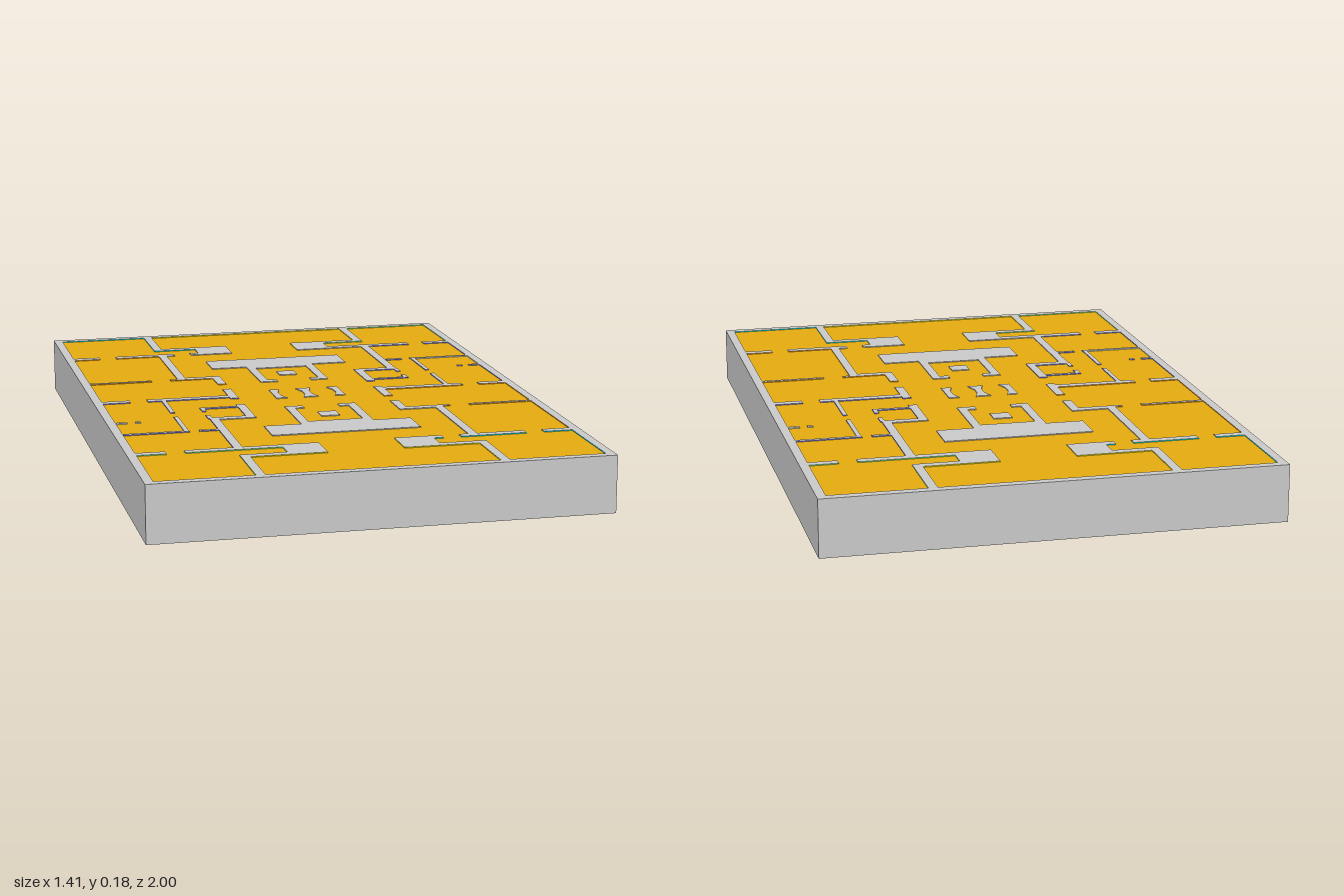
import * as THREE from 'three';
import { mergeGeometries } from 'three/addons/utils/BufferGeometryUtils.js';

const H = 0.178, SHEET = 0.175;
const THICK = 0.028, THIN = 0.014;
const COLOURS = {
  grey: 0xcccccc, yellow: 0xf8f800, green: 0x80ff80, cyan: 0x00ffff,
  orange: 0xffa010, blue: 0x8080ff, pale: 0xe0f4e4,
};

// Paint of the room containing a point; the plan repeats when turned half a circle
function zone(x, z) {
  if (z < 0) { x = -x; z = -z; }
  const a = Math.abs(x);
  if (a > 0.69 || z > 0.985) return 'grey';
  if (z > 0.665) {
    if (a > 0.365 || (a > 0.235 && z < 0.755)) return x > 0 ? 'cyan' : 'green';
    return 'yellow';
  }
  if (x < -0.485 && z > 0.28 && z < 0.42) return 'pale';
  if (a > 0.365 || (a > 0.235 && z < 0.285)) return x > 0 ? 'orange' : 'blue';
  return 'grey';
}

// Sides are cut where they pass from one room to the next
const mirrored = (list) => list.flatMap((c) => [-c, c]).sort((a, b) => a - b);
const CUT_X = mirrored([0.235, 0.365, 0.485]);
const CUT_Z = mirrored([0, 0.28, 0.42, 0.665, 0.755]);
const split = (a, b, cuts) => [a, ...cuts.filter((c) => c > a + 1e-4 && c < b - 1e-4), b];

// One vertical face, turned to look along the given angle
function face(cx, cz, width, angle) {
  return new THREE.PlaneGeometry(width, H).rotateY(angle).translate(cx, H / 2, cz);
}

// Wall box whose sides take the paint of the room they look into
function addBox(buckets, x1, x2, z1, z2) {
  const w = x2 - x1, d = z2 - z1, cx = (x1 + x2) / 2, cz = (z1 + z2) / 2, e = 0.008;
  const put = (colour, g) => (buckets[colour] ??= []).push(g);
  put('grey', new THREE.PlaneGeometry(w, d).rotateX(-Math.PI / 2).translate(cx, H, cz));
  put('grey', new THREE.PlaneGeometry(w, d).rotateX(Math.PI / 2).translate(cx, 0, cz));
  const xs = split(x1, x2, CUT_X), zs = split(z1, z2, CUT_Z);
  for (let i = 0; i + 1 < xs.length; i++) {
    const m = (xs[i] + xs[i + 1]) / 2, len = xs[i + 1] - xs[i];
    put(zone(m, z2 + e), face(m, z2, len, 0));
    put(zone(m, z1 - e), face(m, z1, len, Math.PI));
  }
  for (let i = 0; i + 1 < zs.length; i++) {
    const m = (zs[i] + zs[i + 1]) / 2, len = zs[i + 1] - zs[i];
    put(zone(x2 + e, m), face(x2, m, len, Math.PI / 2));
    put(zone(x1 - e, m), face(x1, m, len, -Math.PI / 2));
  }
}

// All walls, sorted by paint
function buildWalls() {
  const buckets = {};
  // a box and its copy turned half a circle
  const turned = (x1, x2, z1, z2) => {
    addBox(buckets, x1, x2, z1, z2);
    addBox(buckets, -x2, -x1, -z2, -z1);
  };
  // a box repeated in all four quarters
  const quarters = (x1, x2, z1, z2) => {
    turned(x1, x2, z1, z2);
    turned(-x2, -x1, z1, z2);
  };
  // straight walls on one line; spans are start and end pairs with gaps between
  const alongX = (z, t, spans, place = turned) => {
    for (let i = 0; i < spans.length; i += 2) place(spans[i], spans[i + 1], z - t / 2, z + t / 2);
  };
  const alongZ = (x, t, spans, place = turned) => {
    for (let i = 0; i < spans.length; i += 2) place(x - t / 2, x + t / 2, spans[i], spans[i + 1]);
  };

  // outer shell
  alongX(-0.986, THICK, [-0.705, 0.705]);
  alongZ(0.691, THICK, [-1, 0], quarters);

  // end rooms, their door blocks and the corner room fronts
  alongZ(0.366, THICK, [-0.975, -0.74, -0.66, -0.27], quarters);
  alongX(-0.754, THICK, [0.12, 0.38], quarters);
  quarters(0.118, 0.235, -0.767, -0.65);
  alongX(-0.665, THICK, [0.587, 0.68], quarters);
  alongX(-0.665, THICK, [-0.53, -0.322, -0.265, -0.23, 0.23, 0.53]);

  // hall sides and middle cross walls
  alongX(-0.284, THICK, [0.235, 0.38], quarters);
  alongZ(-0.248, THICK, [-0.297, -0.18, -0.105, 0.01]);
  alongZ(0.248, THICK, [-0.297, -0.115, -0.03, 0.01]);
  alongX(-0.001, THICK, [-0.68, -0.587, -0.53, -0.235]);

  // thin partitions
  alongX(-0.277, THIN, [-0.68, -0.47, -0.405, -0.375, 0.598, 0.615, 0.64, 0.68]);
  alongX(-0.423, THIN, [0.375, 0.44, 0.47, 0.68]);
  alongX(-0.142, THIN, [0.255, 0.384]);
  alongZ(0.479, THIN, [-0.42, -0.235, -0.18, 0]);
  alongZ(0.377, THIN, [-0.28, -0.235, -0.18, -0.135]);

  // central block, chamber and pillar
  turned(-0.235, 0.235, -0.535, -0.415);
  turned(-0.115, 0.115, -0.42, -0.387);
  alongZ(0.102, THICK, [-0.42, -0.18], quarters);
  alongX(-0.194, THICK, [0.058, 0.115], quarters);
  turned(-0.03, 0.03, -0.327, -0.27);
  return buckets;
}

// Pier with flared ends; a flat back replaces the left waist when back is given
function pier(flare, waist, back) {
  const right = [[flare, -0.06], [waist, -0.02], [waist, 0.02], [flare, 0.06]];
  const left = back === undefined
    ? right.map(([x, z]) => [-x, z]).reverse()
    : [[back, 0.06], [back, -0.06]];
  const shape = new THREE.Shape([...right, ...left].map(([x, z]) => new THREE.Vector2(x, z)));
  return new THREE.ExtrudeGeometry(shape, { depth: H, bevelEnabled: false }).rotateX(-Math.PI / 2);
}

export function createModel() {
  const group = new THREE.Group();
  const add = (name, geometry, color, side = THREE.FrontSide) => {
    const mesh = new THREE.Mesh(geometry, new THREE.MeshStandardMaterial({ color, side }));
    mesh.name = name;
    group.add(mesh);
    return mesh;
  };

  for (const [colour, parts] of Object.entries(buildWalls())) {
    add(`${colour}Walls`, mergeGeometries(parts), COLOURS[colour]);
  }

  // ceiling sheet between the walls
  add('ceiling', new THREE.PlaneGeometry(1.4, 1.99).rotateX(-Math.PI / 2).translate(0, SHEET, 0),
    0xe6ac10, THREE.DoubleSide);

  // flared piers in the middle of the hall
  add('middlePier', pier(0.025, 0.012), COLOURS.grey);
  const sidePier = pier(-0.08, -0.093, -0.115);
  add('rightPier', sidePier, COLOURS.grey);
  add('leftPier', sidePier, COLOURS.grey).rotation.y = Math.PI;

  // low tables in the two blue rooms
  for (const s of [-1, 1]) {
    add('tableTop', new THREE.BoxGeometry(0.14, 0.012, 0.14).translate(s * 0.6, 0.05, -s * 0.53), 0xb070c0);
    for (const i of [-1, 1]) {
      add('tableLeg', new THREE.BoxGeometry(0.015, 0.045, 0.12)
        .translate(s * 0.6 + i * 0.055, 0.0225, -s * 0.53), 0xc000a0);
    }
  }
  return group;
}
